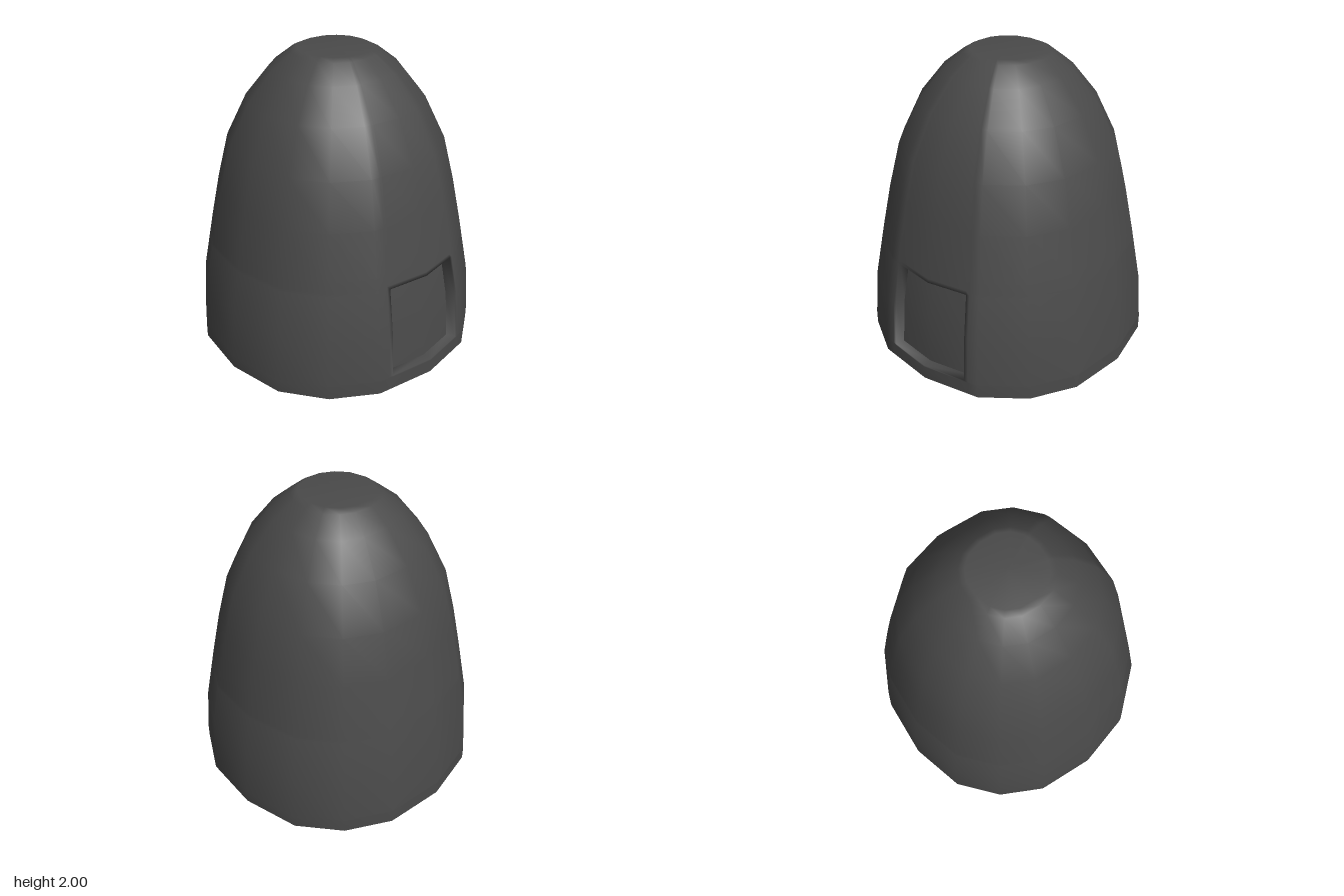
import * as THREE from 'three';

const RAD = Math.PI / 180;
const BASE = 0.915;

// Slightly uneven 16-sided plan, the same four corners repeated per quarter turn
const QUARTER = [[4.5, 0.916], [29.8, 0.935], [49.8, 0.945], [70, 0.943]];
const corners = [];
for (let q = -1; q <= 4; q++) for (const [a, r] of QUARTER) corners.push([a + q * 90, r]);

// Radius against height
const PROFILE = [[0, 0.915], [0.09, 0.915], [0.42, 0.89], [0.8, 0.82], [1.1, 0.76], [1.4, 0.687],
  [1.68, 0.555], [1.88, 0.4], [1.98, 0.275], [2, 0.235]];

// Doorway limits, in degrees around the body and in height
const DOOR = { a0: -14.3, a1: 23.8, y0: 0.1, y1: 0.705, depth: 0.062 };

function radiusAt(y) {
  for (let k = 1; k < PROFILE.length; k++) {
    const [y0, r0] = PROFILE[k - 1], [y1, r1] = PROFILE[k];
    if (y <= y1) return r0 + (r1 - r0) * (y - y0) / (y1 - y0);
  }
  return PROFILE[PROFILE.length - 1][1];
}

// Point on the straight side of the plan at the given angle
function planPoint(deg) {
  const k = corners.findIndex(c => c[0] >= deg - 1e-6);
  const [a0, r0] = corners[k - 1], [a1, r1] = corners[k];
  const s = r0 * r1 * Math.sin((a1 - a0) * RAD) /
    (r0 * Math.sin((deg - a0) * RAD) + r1 * Math.sin((a1 - deg) * RAD));
  return [s * Math.cos(deg * RAD), s * Math.sin(deg * RAD)];
}

function surfacePoint(deg, y, inset = 0) {
  const [x, z] = planPoint(deg), s = (radiusAt(y) - inset) / BASE;
  return [x * s, y, z * s];
}

function makeGeometry(points, index) {
  const g = new THREE.BufferGeometry();
  g.setAttribute('position', new THREE.Float32BufferAttribute(points.flat(), 3));
  g.setIndex(index);
  g.computeVertexNormals();
  return g;
}

export function createModel() {
  const group = new THREE.Group();
  group.name = 'domedTower';
  const grey = new THREE.MeshStandardMaterial({ color: 0x4a4a4a, side: THREE.DoubleSide });
  grey.name = 'darkGrey';

  const angles = corners.slice(3, 19).map(c => c[0])
    .concat([DOOR.a0 - 1.5, DOOR.a0, DOOR.a1, DOOR.a1 + 1.5]).sort((a, b) => a - b);
  const rows = PROFILE.map(p => p[0])
    .concat([DOOR.y0, DOOR.y1, DOOR.y1 + 0.025]).sort((a, b) => a - b);
  const n = angles.length, top = rows.length - 1;
  const i0 = angles.indexOf(DOOR.a0), i1 = angles.indexOf(DOOR.a1);
  const j0 = rows.indexOf(DOOR.y0), j1 = rows.indexOf(DOOR.y1);

  // Shell with a door-shaped gap
  const pts = [], idx = [];
  const V = (i, j) => j * n + i % n;
  for (const y of rows) for (const a of angles) pts.push(surfacePoint(a, y));
  const quad = (list, a, b, c, d) => list.push(a, b, c, a, c, d);
  for (let j = 0; j < top; j++) for (let i = 0; i < n; i++) {
    if (i >= i0 && i < i1 && j >= j0 && j < j1) continue;
    quad(idx, V(i, j), V(i, j + 1), V(i + 1, j + 1), V(i + 1, j));
  }
  // Flat top
  pts.push([0, 2, 0]);
  const centre = pts.length - 1;
  for (let i = 0; i < n; i++) idx.push(V(i, top), centre, V(i + 1, top));

  // Reveal around the doorway
  const loop = [];
  for (let i = i1; i > i0; i--) loop.push([i, j0]);
  for (let j = j0; j < j1; j++) loop.push([i0, j]);
  for (let i = i0; i < i1; i++) loop.push([i, j1]);
  for (let j = j1; j > j0; j--) loop.push([i1, j]);
  const first = pts.length;
  for (const [i, j] of loop) pts.push(surfacePoint(angles[i], rows[j], DOOR.depth));
  loop.forEach(([i, j], k) => {
    const m = (k + 1) % loop.length;
    quad(idx, first + m, first + k, V(i, j), V(loop[m][0], loop[m][1]));
  });
  const shell = new THREE.Mesh(makeGeometry(pts, idx), grey);
  shell.name = 'shell';
  group.add(shell);

  // Recessed door panel
  const doorPts = [], doorIdx = [], w = i1 - i0 + 1;
  for (let j = j0; j <= j1; j++) for (let i = i0; i <= i1; i++)
    doorPts.push(surfacePoint(angles[i], rows[j], DOOR.depth));
  for (let j = 0; j < j1 - j0; j++) for (let i = 0; i < w - 1; i++) {
    const a = j * w + i;
    quad(doorIdx, a, a + w, a + w + 1, a + 1);
  }
  const door = new THREE.Mesh(makeGeometry(doorPts, doorIdx), grey);
  door.name = 'doorPanel';
  group.add(door);

  // Underside, set a little above the rim
  const outline = angles.map(a => new THREE.Vector2(...planPoint(a)).multiplyScalar(0.998));
  const floor = new THREE.Mesh(new THREE.ShapeGeometry(new THREE.Shape(outline)).rotateX(Math.PI / 2), grey);
  floor.position.y = 0.09;
  floor.name = 'underside';
  group.add(floor);

  return group;
}
